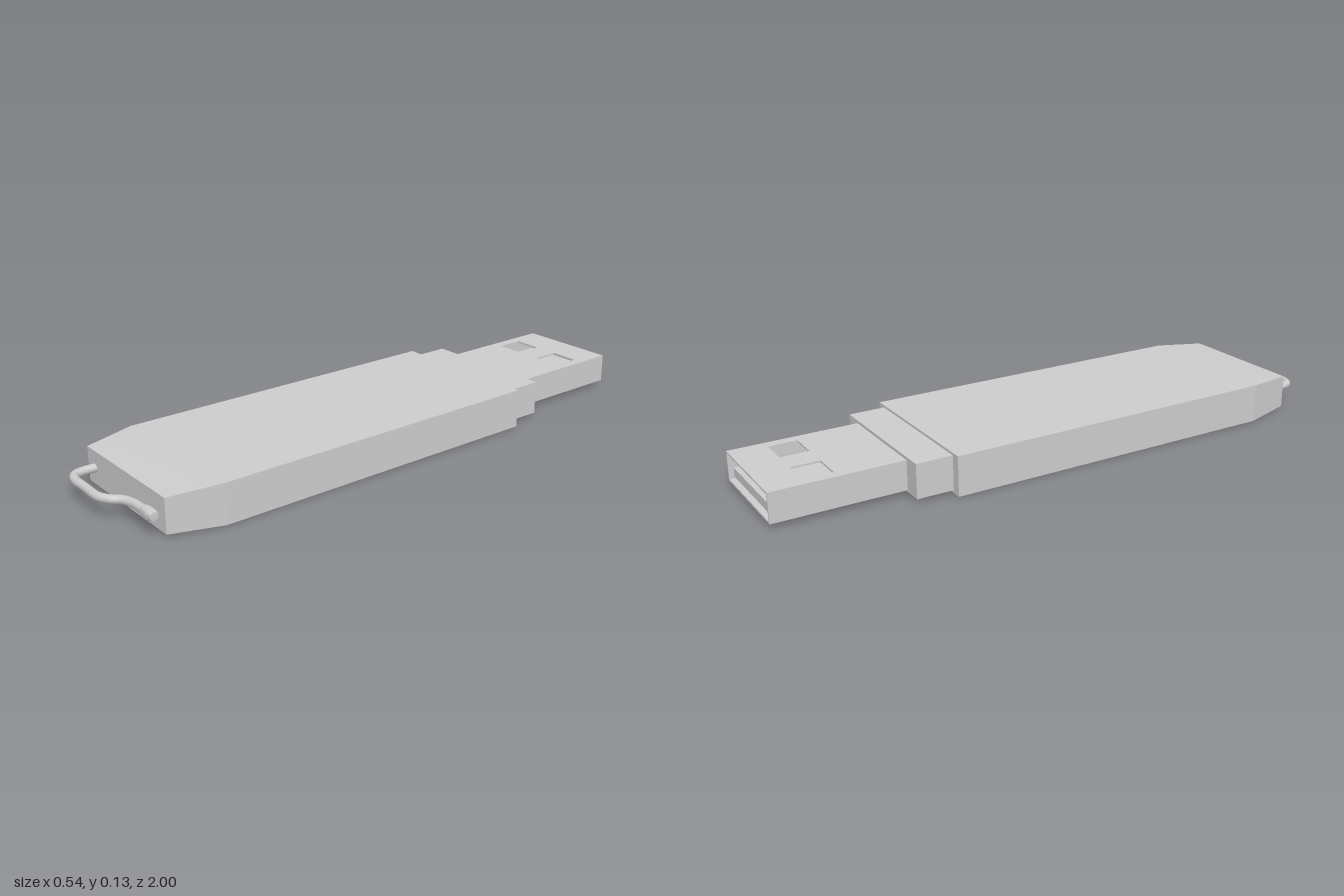
import * as THREE from 'three';
import { toCreasedNormals } from 'three/addons/utils/BufferGeometryUtils.js';

const material = new THREE.MeshStandardMaterial({ color: 0xcccccc });

function add(parent, name, geometry, x = 0, y = 0, z = 0) {
  const mesh = new THREE.Mesh(geometry, material);
  mesh.name = name;
  mesh.position.set(x, y, z);
  parent.add(mesh);
  return mesh;
}

// box given by its lowest and highest corners
function addBox(parent, name, [x0, y0, z0], [x1, y1, z1]) {
  return add(parent, name, new THREE.BoxGeometry(x1 - x0, y1 - y0, z1 - z0),
    (x0 + x1) / 2, (y0 + y1) / 2, (z0 + z1) / 2);
}

// main casing: straight from back to shoulder, tapering to the front
function casingGeometry() {
  const back = -0.445, shoulder = 0.73, front = 0.9;
  const geometry = new THREE.BoxGeometry(0.544, 0.132, 2, 1, 1, 2);
  const p = geometry.attributes.position;
  for (let i = 0; i < p.count; i++) {
    const z = p.getZ(i);
    if (z > 0.5) {
      p.setXYZ(i, p.getX(i) * 0.852, p.getY(i) * 0.856, front);
    } else {
      p.setZ(i, z < -0.5 ? back : shoulder);
    }
  }
  return toCreasedNormals(geometry, 0.1);
}

// thin plug plate with two square windows
function plateGeometry(halfWidth, z0, z1, thickness) {
  const rect = (path, xa, za, xb, zb) => {
    path.moveTo(xa, za);
    path.lineTo(xb, za);
    path.lineTo(xb, zb);
    path.lineTo(xa, zb);
    path.closePath();
    return path;
  };
  const shape = rect(new THREE.Shape(), -halfWidth, z0, halfWidth, z1);
  for (const x of [-0.093, 0.093]) {
    shape.holes.push(rect(new THREE.Path(), x - 0.05, -0.88, x + 0.05, -0.785));
  }
  const geometry = new THREE.ExtrudeGeometry(shape, { depth: thickness, bevelEnabled: false });
  return geometry.rotateX(Math.PI / 2);
}

export function createModel() {
  const group = new THREE.Group();

  add(group, 'casing', casingGeometry(), 0, 0.066, 0);
  addBox(group, 'collar', [-0.24, 0.01, -0.568], [0.24, 0.124, -0.44]);

  // hollow plug, open at the back, with the contact tongue inside
  const plug = new THREE.Group();
  plug.name = 'plug';
  group.add(plug);
  const w = 0.178, bottom = 0.016, top = 0.114, t = 0.006, z0 = -1, z1 = -0.56;
  add(plug, 'topPlate', plateGeometry(w, z0, z1, t), 0, top, 0);
  add(plug, 'bottomPlate', plateGeometry(w, z0, z1, t), 0, bottom + t, 0);
  for (const s of [-1, 1]) {
    const xa = s < 0 ? -w : w - t;
    addBox(plug, s < 0 ? 'rightWall' : 'leftWall', [xa, bottom + t, z0], [xa + t, top - t, z1]);
  }
  addBox(plug, 'tongue', [-0.165, 0.03, -0.985], [0.165, 0.06, z1]);

  // bent wire clip at the front, ending in a thicker tip
  const clip = new THREE.Group();
  clip.name = 'clip';
  clip.position.y = 0.066;
  group.add(clip);
  const points = [[-0.188, 0.88], [-0.188, 0.945], [-0.178, 0.972], [-0.15, 0.985], [-0.08, 0.986],
    [0, 0.985], [0.035, 0.968], [0.06, 0.943], [0.1, 0.928], [0.17, 0.925]]
    .map(([x, z]) => new THREE.Vector3(x, 0, z));
  add(clip, 'wire', new THREE.TubeGeometry(new THREE.CatmullRomCurve3(points, false, 'centripetal'), 60, 0.014, 12));
  const tipProfile = [[0, -0.035], [0.014, -0.035], [0.018, -0.015], [0.018, 0.015], [0.014, 0.029], [0, 0.031]]
    .map(([r, y]) => new THREE.Vector2(r, y));
  const tip = new THREE.LatheGeometry(tipProfile, 14).rotateZ(-Math.PI / 2);
  add(clip, 'tip', toCreasedNormals(tip, 0.8), 0.185, 0, 0.924);

  return group;
}
